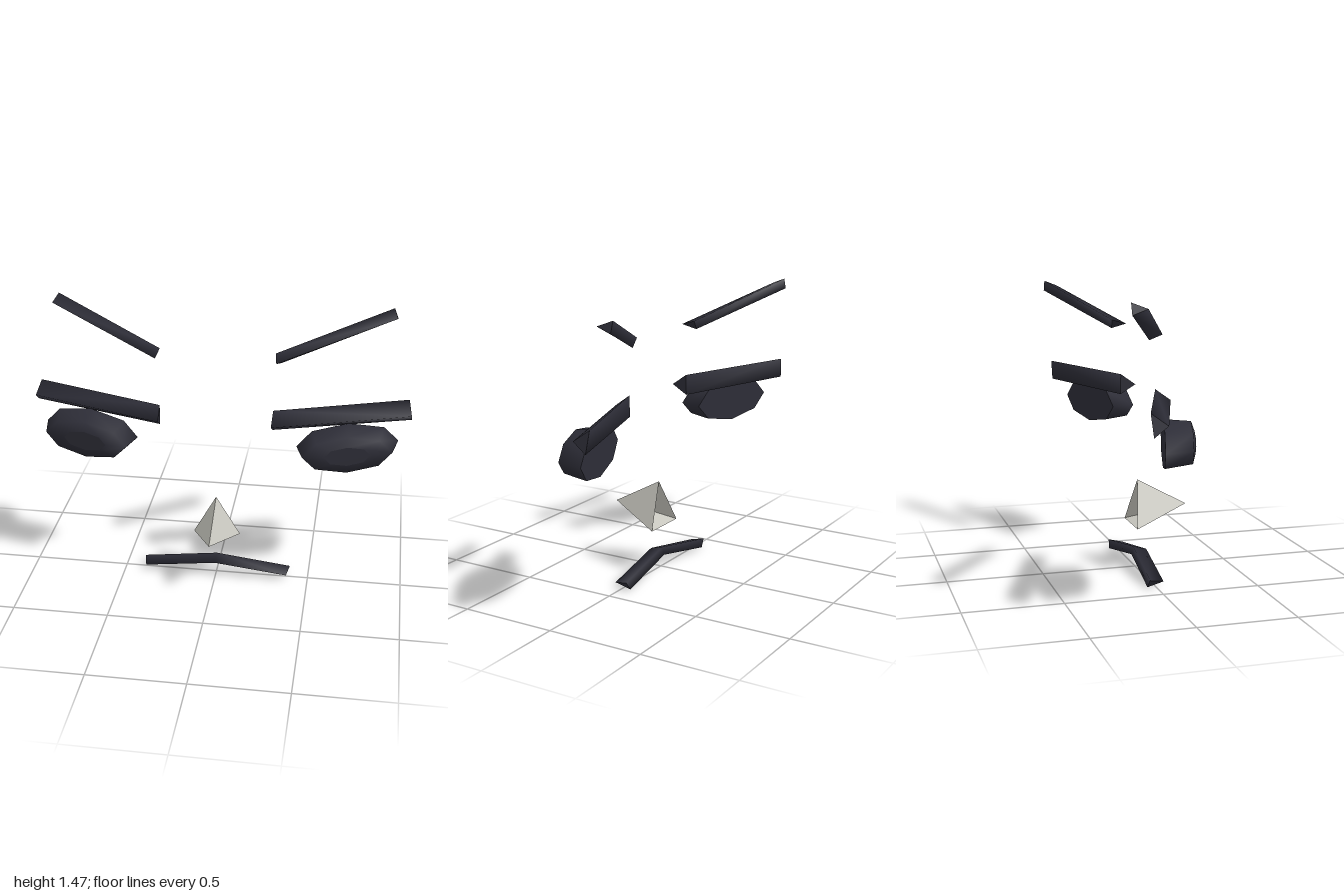
import * as THREE from 'three';

const dark = new THREE.MeshStandardMaterial({ color: 0x2d2d37, side: THREE.DoubleSide });
dark.name = 'charcoal';
const pale = new THREE.MeshStandardMaterial({ color: 0xc9c8c0, side: THREE.DoubleSide, flatShading: true });
pale.name = 'pale grey';

// Skin a list of equal-sized rings (clockwise seen from the last ring) and cap both ends
function loft(rings) {
  const n = rings[0].length;
  const last = rings.length - 1;
  const pos = rings.flat(2);
  const index = [];
  for (let r = 0; r < last; r++) {
    for (let i = 0; i < n; i++) {
      const a = r * n + i, c = r * n + (i + 1) % n;
      index.push(a, a + n, c, c, a + n, c + n);
    }
  }
  const s = pos.length / 3;
  pos.push(...rings[0].flat(), ...rings[last].flat());
  for (let i = 1; i < n - 1; i++) {
    index.push(s, s + i, s + i + 1, s + n, s + n + i + 1, s + n + i);
  }
  const geo = new THREE.BufferGeometry();
  geo.setAttribute('position', new THREE.Float32BufferAttribute(pos, 3));
  geo.setIndex(index);
  geo.computeVertexNormals();
  return geo;
}

function part(name, geo, material) {
  const mesh = new THREE.Mesh(geo, material);
  mesh.name = name;
  return mesh;
}

// Eight-sided ring of the eye, turned outwards
function eyeRing(x, z, scale) {
  return Array.from({ length: 8 }, (_, i) => {
    const t = -i * Math.PI / 4;
    const dx = 0.26 * scale * Math.cos(t);
    return [x + dx, 0.8 + 0.115 * scale * Math.sin(t), z - 0.27 * dx];
  });
}

export function createModel() {
  const model = new THREE.Group();
  model.name = 'face';

  // Three-sided bars: front, top and bottom corner at each end
  const browGeo = loft([
    [[0.305, 1.27, 0.045], [0.294, 1.293, -0.035], [0.326, 1.246, -0.03]],
    [[0.89, 1.445, -0.205], [0.872, 1.474, -0.28], [0.893, 1.418, -0.28]],
  ]);
  const lidGeo = loft([
    [[0.289, 0.94, 0.093], [0.292, 0.998, 0.012], [0.292, 0.889, 0.01]],
    [[0.995, 0.94, -0.142], [0.98, 0.998, -0.222], [1.0, 0.889, -0.212]],
  ]);

  // Drum-like eye with a shallow domed front
  const eyeGeo = loft([
    eyeRing(0.675, -0.068, 1),
    eyeRing(0.68, 0.067, 0.87),
    eyeRing(0.68, 0.085, 0.45),
  ]);

  for (const [label, side] of [['left', 1], ['right', -1]]) {
    const half = new THREE.Group();
    half.name = label + 'Side';
    half.add(
      part(label + 'Eyebrow', browGeo, dark),
      part(label + 'Eyelid', lidGeo, dark),
      part(label + 'Eye', eyeGeo, dark),
    );
    half.scale.x = side;
    half.position.z = -0.007 * side;
    model.add(half);
  }

  // Mouth: one bar bent at the middle
  const mouthEnd = (s) => [[s * 0.385, 0.033, 0.037], [s * 0.4, 0.048, -0.038], [s * 0.37, 0.005, -0.043]];
  const mouthMiddle = [[0, 0.095, 0.062], [0, 0.115, -0.01], [0, 0.072, -0.02]];
  model.add(part('mouth', loft([mouthEnd(-1), mouthMiddle, mouthEnd(1)]), dark));

  // Nose: three-sided point, open at the back
  const noseGeo = new THREE.BufferGeometry();
  const top = [0, 0.477, 0.012], tip = [0, 0.33, 0.28];
  const left = [0.125, 0.24, -0.022], right = [-0.125, 0.24, -0.022];
  const corners = [top, tip, left, top, right, tip, tip, right, left];
  noseGeo.setAttribute('position', new THREE.Float32BufferAttribute(corners.flat(), 3));
  noseGeo.computeVertexNormals();
  model.add(part('nose', noseGeo, pale));

  return model;
}
